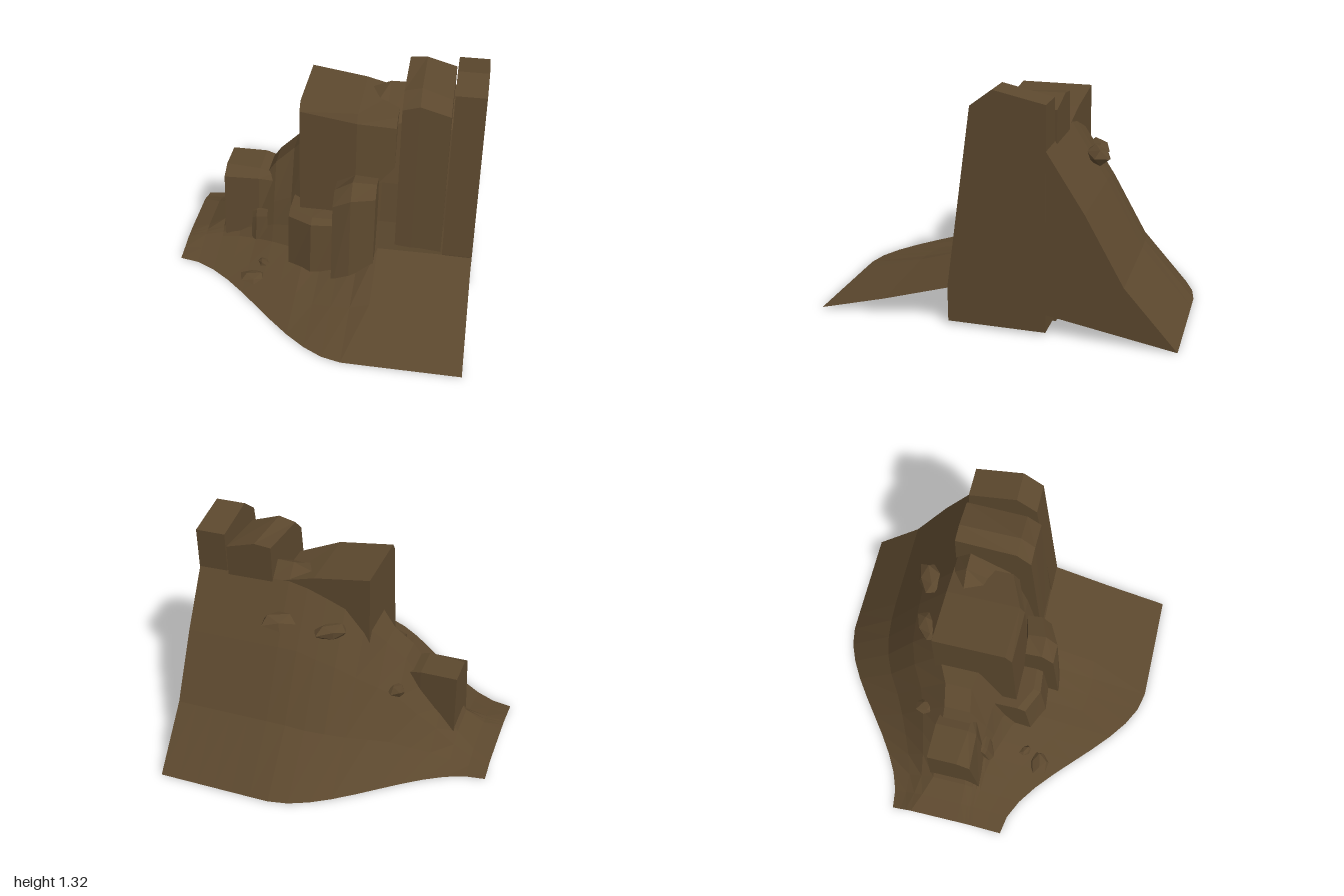
import * as THREE from 'three';

const stone = new THREE.MeshStandardMaterial({ color: 0x5c482e, flatShading: true, side: THREE.DoubleSide });
stone.name = 'brown stone';

// Joins cross-sections (lists of points) into one flat-faced surface.
function loft(sections, { capped = false, bottom = false } = {}) {
  const out = [];
  const tri = (a, b, c) => out.push(...a, ...b, ...c);
  const n = sections[0].length;
  for (let i = 0; i < sections.length - 1; i++) {
    const a = sections[i], b = sections[i + 1];
    for (let j = 0; j < (bottom ? n : n - 1); j++) {
      const k = (j + 1) % n;
      tri(a[j], a[k], b[j]);
      tri(b[j], a[k], b[k]);
    }
  }
  if (capped) {
    const first = sections[0], last = sections[sections.length - 1];
    for (let j = 1; j < n - 1; j++) {
      tri(first[0], first[j + 1], first[j]);
      tri(last[0], last[j], last[j + 1]);
    }
  }
  const g = new THREE.BufferGeometry();
  g.setAttribute('position', new THREE.Float32BufferAttribute(out, 3));
  g.computeVertexNormals();
  return g;
}

// Ridge keys: x, ridge height, ridge back z, ridge front z, cliff foot z, cliff foot y, crest bump
const KEYS = [
  [-0.9, 0.035, -0.3, 0, 0.1, 0.03, 0],
  [-0.78, 0.065, -0.25, 0, 0.08, 0.05, 0],
  [-0.66, 0.14, -0.2, 0, 0.1, 0.06, 0],
  [-0.55, 0.3, -0.2, -0.02, 0.1, 0.08, 0],
  [-0.45, 0.42, -0.2, -0.03, 0.12, 0.09, 0],
  [-0.34, 0.58, -0.2, -0.04, 0.16, 0.11, 0],
  [-0.22, 0.69, -0.22, -0.06, 0.2, 0.12, 0],
  [-0.11, 0.82, -0.28, -0.02, 0.28, 0.12, 0],
  [0, 0.92, -0.3, 0, 0.32, 0.11, 0],
  [0.22, 1.02, -0.29, 0.02, 0.28, 0.17, 0.045],
  [0.33, 1.03, -0.3, 0.02, 0.25, 0.22, 0.08],
  [0.89, 1.02, -0.3, 0.02, 0.24, 0.215, 0.1],
];

// Ground cross-section at x, running from the back edge to the front edge
function groundSection(x) {
  let i = 0;
  while (i < KEYS.length - 2 && x > KEYS[i + 1][0]) i++;
  const t = (x - KEYS[i][0]) / (KEYS[i + 1][0] - KEYS[i][0]);
  const [, h, zb, zf, fz, fy, bump] = KEYS[i].map((v, k) => v + (KEYS[i + 1][k] - v) * t);
  const s = THREE.MathUtils.smoothstep(x, -0.9, 0.24);
  const back = -0.42 - 0.58 * s, front = 0.28 + 0.72 * s;
  const mix = THREE.MathUtils.lerp;
  return [
    [x, 0, back],
    [x, h * 0.32, mix(back, zb, 0.41)],
    [x, h * 0.69, mix(back, zb, 0.71)],
    [x, h, zb],
    [x, h + bump, mix(zb, zf, 0.25)],
    [x, h - bump * 0.7, zf],
    [x, mix(h, fy, 0.5), mix(zf, fz, 0.5)],
    [x, mix(h, fy, 0.8), mix(zf, fz, 0.74)],
    [x, fy, fz],
    [x, fy * 0.47, mix(fz, front, 0.5)],
    [x, 0, front],
  ];
}

function groundHeight(x, z) {
  const s = groundSection(x);
  for (let i = 0; i < s.length - 1; i++) {
    if (z <= s[i + 1][2]) {
      return THREE.MathUtils.mapLinear(z, s[i][2], s[i + 1][2], s[i][1], s[i + 1][1]);
    }
  }
  return 0;
}

// Each block column: x, back z, back top y, top front z, top front y, bevel z, bevel y, foot z
const BLOCKS = {
  lowLeftBlock: [0.07, [
    [-0.655, -0.23, 0.525, -0.05, 0.525, 0.03, 0.48, 0.085],
    [-0.44, -0.23, 0.525, -0.03, 0.525, 0.02, 0.48, 0.085],
    [-0.35, -0.22, 0.5, -0.03, 0.5, 0, 0.46, 0.05]]],
  mainBlock: [0, [
    [-0.15, -0.3, 1.13, 0.12, 1.13, 0.16, 1.08, 0.23],
    [0.18, -0.3, 1.08, 0.13, 1.08, 0.16, 1.03, 0.23],
    [0.4, -0.3, 1.02, 0.04, 1.025, 0.08, 0.97, 0.17]]],
  tallBlock: [0, [
    [0.43, -0.31, 1.23, 0.05, 1.21, 0.135, 1.13, 0.265],
    [0.53, -0.31, 1.24, 0.05, 1.235, 0.135, 1.16, 0.265],
    [0.705, -0.31, 1.19, 0.05, 1.175, 0.135, 1.11, 0.265]]],
  frontLowBlock: [0, [
    [-0.205, 0.05, 0.43, 0.22, 0.435, 0.27, 0.41, 0.33],
    [-0.06, 0.05, 0.43, 0.29, 0.435, 0.335, 0.41, 0.4],
    [0.09, 0.05, 0.43, 0.28, 0.43, 0.32, 0.41, 0.39]]],
  frontBlock: [0, [
    [0.075, 0.2, 0.65, 0.3, 0.66, 0.375, 0.59, 0.45],
    [0.18, 0.19, 0.7, 0.3, 0.725, 0.375, 0.64, 0.435],
    [0.315, 0.16, 0.67, 0.25, 0.69, 0.31, 0.62, 0.37]]],
  smallSlab: [0.05, [
    [-0.48, 0, 0.25, 0.06, 0.26, 0.08, 0.22, 0.12],
    [-0.45, 0, 0.28, 0.07, 0.275, 0.09, 0.24, 0.14],
    [-0.38, 0, 0.285, 0.07, 0.285, 0.09, 0.25, 0.13]]],
};

// The right end block has a crest across its middle.
const END_PROFILE = [[-0.3, 0.02], [-0.3, 1.26], [-0.02, 1.32], [0.1, 1.23], [0.245, 0.22], [0.245, 0.02]];

// Loose rocks: x, z, half width, half height, half depth, turn, lift above the slope
const ROCKS = [
  [-0.33, -0.33, 0.055, 0.04, 0.06, 0.6, 0.01],
  [0.045, -0.39, 0.1, 0.045, 0.06, 0.5, 0.01],
  [0.34, -0.45, 0.105, 0.045, 0.075, 0.4, 0.06],
  [-0.4, 0.42, 0.078, 0.026, 0.062, 0.2, 0.01],
  [-0.355, 0.32, 0.045, 0.022, 0.03, -0.6, 0.01],
];

export function createModel() {
  const group = new THREE.Group();
  const add = (name, geometry) => {
    const mesh = new THREE.Mesh(geometry, stone);
    mesh.name = name;
    group.add(mesh);
    return mesh;
  };

  // Open ground shell
  const sections = [];
  for (let i = 0; i <= 16; i++) sections.push(groundSection(-0.9 + (1.79 * i) / 16));
  add('groundSlope', loft(sections));

  // Flat end wall, from the back edge over the ridge to the cliff foot
  const wall = new THREE.Shape(groundSection(0.89).slice(0, 9).map(p => new THREE.Vector2(-p[2], p[1])));
  add('endWall', new THREE.ShapeGeometry(wall).rotateY(Math.PI / 2).translate(0.889, 0, 0));

  // Bevelled cliff blocks, hollow underneath
  for (const [name, [base, columns]] of Object.entries(BLOCKS)) {
    add(name, loft(columns.map(([x, zb, yb, zt, yt, zv, yv, zFoot]) => [
      [x, base, zb], [x, yb, zb], [x, yt, zt], [x, yv, zv], [x, base, zFoot],
    ]), { capped: true }));
  }
  const endSections = [0.715, 0.892].map(x => END_PROFILE.map(([z, y]) => [x, y, z]));
  add('endBlock', loft(endSections, { capped: true, bottom: true }));

  // Loose rocks resting on the slope
  ROCKS.forEach(([x, z, w, h, d, turn, lift], i) => {
    const g = new THREE.IcosahedronGeometry(1, 0);
    const p = g.attributes.position;
    for (let k = 0; k < p.count; k++) {
      const f = 1 + 0.18 * Math.sin(p.getX(k) * 5 + p.getY(k) * 3 + p.getZ(k) * 7 + i);
      p.setXYZ(k, p.getX(k) * f * w, p.getY(k) * f * h, p.getZ(k) * f * d);
    }
    g.computeVertexNormals();
    const rock = add('looseRock', g);
    rock.position.set(x, groundHeight(x, z) + lift, z);
    rock.rotation.y = turn;
  });

  return group;
}
